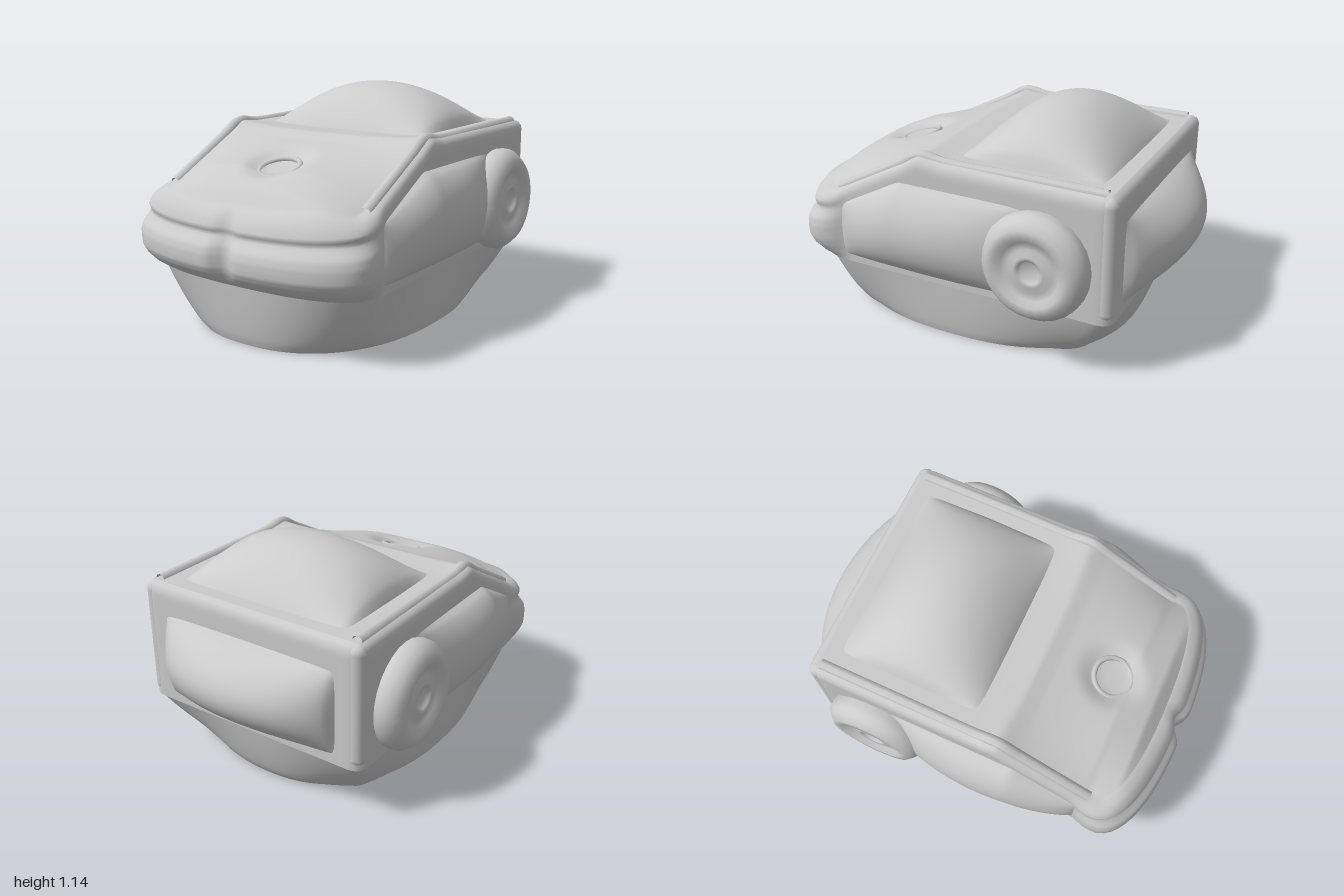
import * as THREE from 'three';
import { mergeVertices } from 'three/addons/utils/BufferGeometryUtils.js';

const material = new THREE.MeshStandardMaterial({ color: 0xcccccc, side: THREE.DoubleSide });
const { smoothstep, lerp } = THREE.MathUtils;

// Smooth sheet: fn(u, v) gives a point for u, v in 0..1
function sheet(name, nu, nv, fn) {
  const pos = [], index = [];
  for (let j = 0; j <= nv; j++)
    for (let i = 0; i <= nu; i++) pos.push(...fn(i / nu, j / nv));
  for (let j = 0; j < nv; j++)
    for (let i = 0; i < nu; i++) {
      const a = j * (nu + 1) + i, b = a + nu + 1;
      index.push(a, a + 1, b, a + 1, b + 1, b);
    }
  let geo = new THREE.BufferGeometry();
  geo.setAttribute('position', new THREE.Float32BufferAttribute(pos, 3));
  geo.setIndex(index);
  geo = mergeVertices(geo, 1e-5);
  geo.computeVertexNormals();
  return named(name, geo);
}

function named(name, geo) {
  const mesh = new THREE.Mesh(geo, material);
  mesh.name = name;
  return mesh;
}

// Linear interpolation in a short table of [key, value]
function table(rows, k) {
  if (k <= rows[0][0]) return rows[0][1];
  for (let i = 1; i < rows.length; i++) {
    const [k0, v0] = rows[i - 1], [k1, v1] = rows[i];
    if (k <= k1) return lerp(v0, v1, (k - k0) / (k1 - k0));
  }
  return rows[rows.length - 1][1];
}

// Height of the rim and of the centre line along z
const RIM = [[-0.8, 0.92], [0.08, 0.925], [0.2, 0.94], [0.3, 0.88], [0.68, 0.68], [0.9, 0.63]];
const CROWN = [[-0.8, 0.92], [0.08, 0.915], [0.22, 0.92], [0.3, 0.89], [0.4, 0.865],
  [0.56, 0.83], [0.65, 0.81], [0.8, 0.74], [0.88, 0.645]];

function topHeight(x, z) {
  const w = 1 - Math.min(1, Math.abs(x) / 0.56) ** 3;
  const dimple = 0.045 * Math.exp(-(((x * x + (z - 0.56) ** 2) / 0.0196) ** 2));
  return lerp(table(RIM, z), table(CROWN, z), w) - dimple;
}

// Plan outline: square back, rounded front
function planOutline() {
  const s = new THREE.Shape();
  s.moveTo(0, -0.8);
  s.lineTo(0.56, -0.8);
  s.quadraticCurveTo(0.63, -0.8, 0.63, -0.72);
  s.lineTo(0.63, 0.66);
  s.bezierCurveTo(0.62, 0.82, 0.45, 0.9, 0, 0.9);
  s.bezierCurveTo(-0.45, 0.9, -0.62, 0.82, -0.63, 0.66);
  s.lineTo(-0.63, -0.72);
  s.quadraticCurveTo(-0.63, -0.8, -0.56, -0.8);
  s.lineTo(0, -0.8);
  return s.getSpacedPoints(200);
}

export function createModel() {
  const model = new THREE.Group();
  const outline = planOutline();
  const N = outline.length - 1;
  const normalAt = (i) => {
    const a = outline[(i + N - 1) % N], b = outline[(i + 1) % N];
    return new THREE.Vector2(b.y - a.y, a.x - b.x).normalize();
  };

  // Wall with the two-lobed bumper: [height fraction, bumper offset]
  const wall = [[0, 0], [0.1, 0.045], [0.22, 0.08], [0.33, 0.097], [0.43, 0.1], [0.55, 0.1],
    [0.68, 0.09], [0.8, 0.06], [0.87, 0.045], [0.93, 0.055], [1, 0.055]];
  const rimAt = (i, inset) => {
    const p = outline[i % N], n = normalAt(i);
    return [p.x - n.x * inset, p.y - n.y * inset];
  };
  model.add(sheet('bodyWall', N, 30, (u, v) => {
    const i = Math.round(u * N) % N, p = outline[i], n = normalAt(i);
    const front = smoothstep(p.y, 0.6, 0.8);
    const notch = 1 - 0.55 * Math.exp(-((p.x / 0.05) ** 2));
    const f = Math.min(1, v * 1.1), rim = table(RIM, p.y);
    const off = table(wall, f) * front * notch;
    if (v > 0.91) { // rounded upper edge
      const t = (v - 0.91) / 0.09, inset = 0.04 * t * t;
      const [x, z] = rimAt(i, inset);
      const out = 0.055 * front * notch * (1 - t);
      const y = lerp(rim - 0.05, topHeight(...rimAt(i, 0.04)), Math.sin(t * Math.PI / 2));
      return [x + n.x * out, y, z + n.y * out];
    }
    return [p.x + n.x * off, lerp(0.3, rim - 0.05, f), p.y + n.y * off];
  }));

  // Hood and roof, closing the wall
  model.add(sheet('hoodAndRoof', N, 60, (u, v) => {
    const [rx, rz] = rimAt(Math.round(u * N), 0.04), s = 1 - v;
    const x = rx * s, z = lerp(0.1, rz, s);
    return [x, topHeight(x, z), z];
  }));

  // Neck skirt: oval open hem blending into the body outline
  model.add(sheet('neckSkirt', N, 12, (u, v) => {
    const p = outline[Math.round(u * N) % N];
    const a = Math.atan2((p.y - 0.05) / 0.85, p.x / 0.63);
    const pw = (c) => Math.sign(c) * Math.abs(c) ** 0.84;
    const t = Math.pow(v, 0.65);
    return [lerp(0.585 * pw(Math.cos(a)), p.x * 0.985, t), 0.3 * v,
      lerp(0.075 + 0.765 * pw(Math.sin(a)), p.y * 0.99, t)];
  }));

  // Domed panels on roof, back and sides
  const dome = (u, v, pu, pv) =>
    Math.max(0, 1 - (2 * u - 1) ** 2) ** pu * Math.max(0, 1 - (2 * v - 1) ** 2) ** pv;
  model.add(sheet('roofDome', 48, 48, (u, v) =>
    [lerp(-0.48, 0.48, u), 0.915 + 0.222 * dome(u, v, 0.6, 0.9), lerp(0.05, -0.69, v)]));
  model.add(sheet('backDome', 48, 32, (u, v) =>
    [lerp(-0.5, 0.5, u), lerp(0.34, 0.78, v), -0.79 - 0.21 * dome(u, v, 0.6, 0.8)]));

  const earProfile = [[0.25, -0.03], [0.265, 0.03], [0.262, 0.07], [0.24, 0.1], [0.21, 0.128],
    [0.17, 0.13], [0.145, 0.105], [0.11, 0.1], [0.075, 0.115], [0.055, 0.11], [0.045, 0.09], [0, 0.09]]
    .map(([r, h]) => new THREE.Vector2(r, h));

  for (const side of [1, -1]) {
    const label = side > 0 ? 'left' : 'right';
    model.add(sheet(label + 'SideDome', 48, 32, (u, v) => {
      const z = lerp(0.66, -0.38, u);
      const top = Math.min(0.8, table(RIM, z) - 0.08);
      return [side * (0.625 + 0.135 * dome(u, v, 0.75, 0.65)), lerp(0.335, top, v), z];
    }));

    // Round ear disc
    const ear = named(label + 'EarDisc', new THREE.LatheGeometry(earProfile, 28));
    ear.rotation.z = -side * Math.PI / 2;
    ear.position.set(side * 0.62, 0.545, -0.44);
    model.add(ear);

    // Raised rail along the roof edge and hood edge
    const path = new THREE.CatmullRomCurve3([[-0.74, 0.915], [-0.3, 0.915], [0.08, 0.915],
      [0.2, 0.93], [0.32, 0.865], [0.5, 0.77], [0.68, 0.675]]
      .map(([z, y]) => new THREE.Vector3(side * 0.57, y, z)));
    model.add(named(label + 'EdgeRail', new THREE.TubeGeometry(path, 48, 0.028, 8)));

    // Rear corner post
    const post = named(label + 'RearPost', new THREE.CapsuleGeometry(0.045, 0.52, 4, 12));
    post.position.set(side * 0.585, 0.615, -0.755);
    model.add(post);
  }

  // Ring set in the hood dimple
  const ring = named('hoodRing', new THREE.TorusGeometry(0.1, 0.014, 8, 32));
  ring.rotation.x = -Math.PI / 2 + 0.3;
  ring.position.set(0, 0.79, 0.56);
  model.add(ring);

  return model;
}
